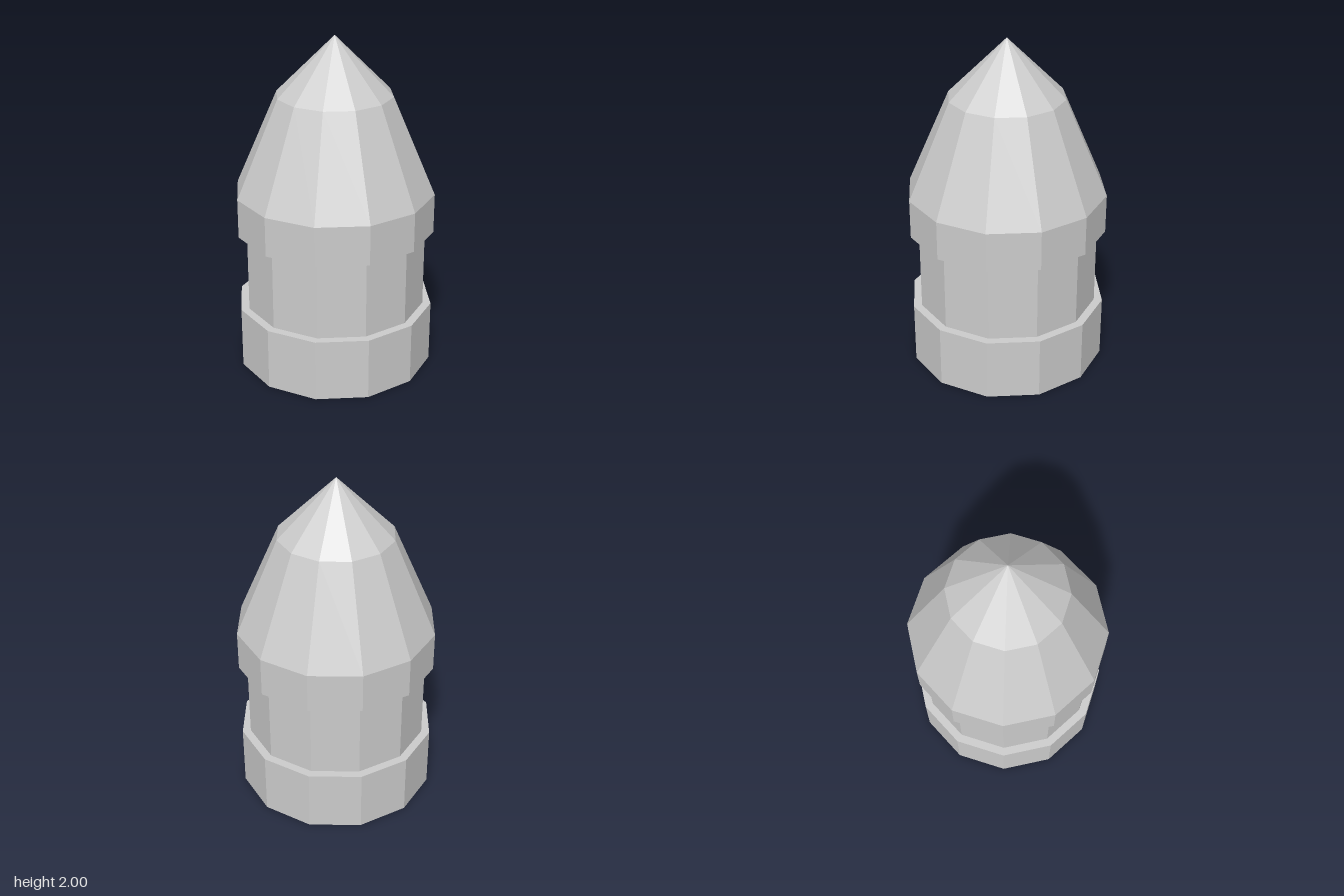
import * as THREE from 'three';

const SIDES = 12;

export function createModel() {
  const group = new THREE.Group();
  const material = new THREE.MeshStandardMaterial({ color: 0xcccccc, flatShading: true });

  // Revolves a [radius, height] profile, listed bottom to top along the outside
  const turn = (name, profile) => {
    const points = profile.map(([r, y]) => new THREE.Vector2(r, y));
    const mesh = new THREE.Mesh(new THREE.LatheGeometry(points, SIDES), material);
    mesh.name = name;
    group.add(mesh);
  };

  // Base band with a blind socket underneath and a ledge on top
  turn('base', [[0, 0.24], [0.37, 0.24], [0.37, 0], [0.59, 0], [0.59, 0.375], [0.54, 0.375]]);

  // Recessed neck between the two bands
  turn('neck', [[0.54, 0.375], [0.54, 0.85]]);

  // Upper band with its lip, tapering in two slopes to a point
  turn('nose', [[0.54, 0.85], [0.59, 0.85], [0.59, 1.085], [0.34, 1.66], [0, 2]]);

  return group;
}
